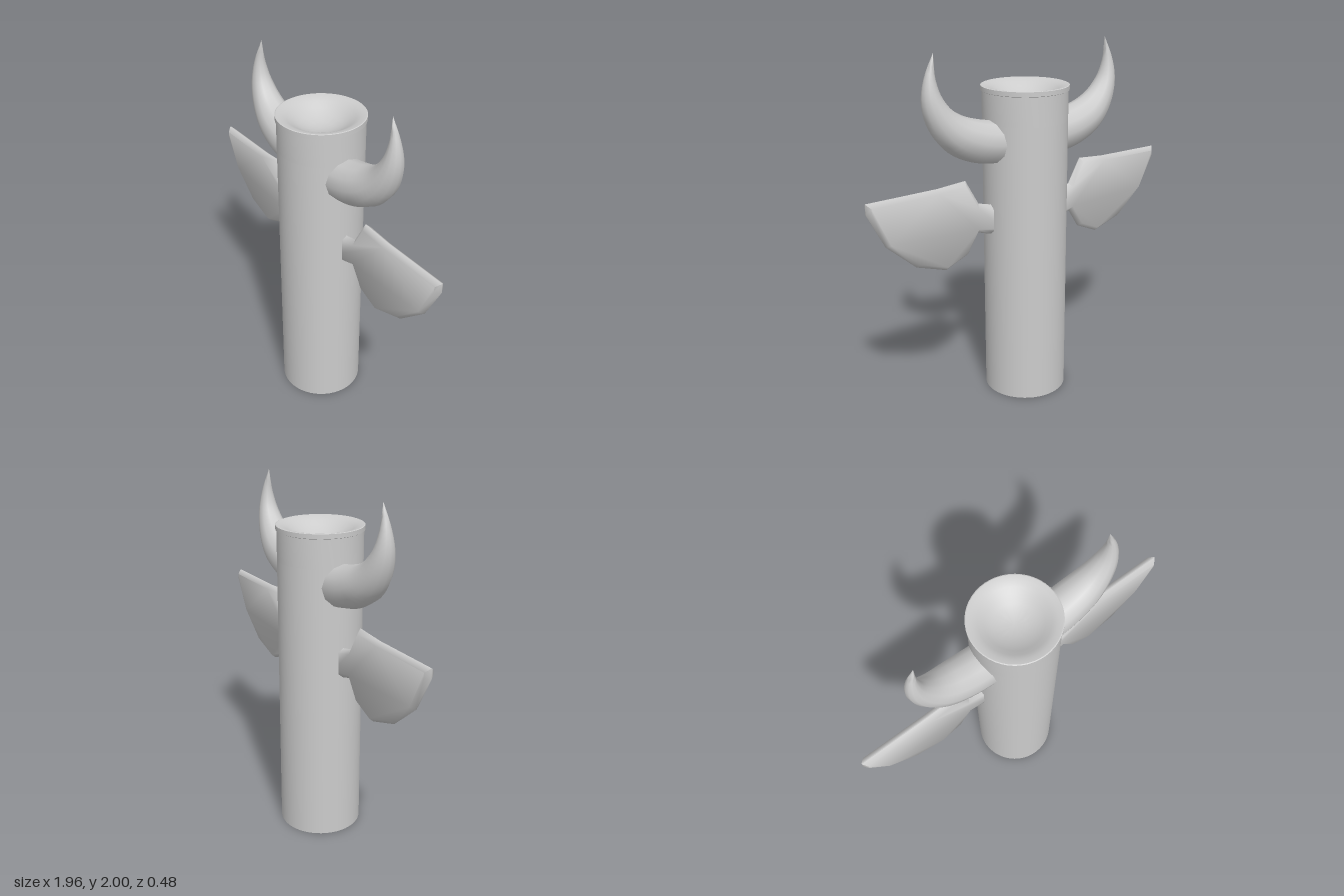
import * as THREE from 'three';
import { mergeVertices, toCreasedNormals } from 'three/addons/utils/BufferGeometryUtils.js';

const material = new THREE.MeshStandardMaterial({ color: 0xcccccc });
const vec2 = (points) => points.map(([x, y]) => new THREE.Vector2(x, y));

function addMesh(parent, name, geometry) {
  const mesh = new THREE.Mesh(geometry, material);
  mesh.name = name;
  parent.add(mesh);
}

// Curved horn: rings [x, y, radius] swept along a smooth path in the XY plane
function hornGeometry() {
  const stations = [
    [0.12, 1.495, 0.117], [0.22, 1.502, 0.118], [0.33, 1.525, 0.115], [0.44, 1.573, 0.104],
    [0.525, 1.652, 0.083], [0.578, 1.757, 0.058], [0.588, 1.87, 0.031], [0.563, 2.0, 0.0005],
  ];
  const path = new THREE.CatmullRomCurve3(stations.map(([x, y]) => new THREE.Vector3(x, y, 0)));
  const radii = new THREE.CatmullRomCurve3(stations.map(([, , r], i) => new THREE.Vector3(i, r, 0)));
  const rings = 28, sides = 12;
  const positions = [], index = [];
  for (let i = 0; i <= rings; i++) {
    const t = i / rings;
    const p = path.getPoint(t);
    const d = path.getTangent(t);
    const r = radii.getPoint(t).y;
    for (let j = 0; j < sides; j++) {
      const a = (j / sides) * Math.PI * 2;
      const n = Math.cos(a) * r;
      positions.push(p.x - d.y * n, p.y + d.x * n, Math.sin(a) * r);
      if (i === rings) continue;
      const a0 = i * sides + j, b0 = i * sides + (j + 1) % sides;
      index.push(a0, b0, a0 + sides, b0, b0 + sides, a0 + sides);
    }
  }
  // Root cap, hidden inside the body
  for (let j = 1; j < sides - 1; j++) index.push(0, j + 1, j);
  const g = new THREE.BufferGeometry();
  g.setAttribute('position', new THREE.Float32BufferAttribute(positions, 3));
  g.setIndex(index);
  return toCreasedNormals(g, 1.2);
}

// Flat wing with a narrow neck and edges bevelled to a ridge
function wingGeometry() {
  const shape = new THREE.Shape(vec2([
    [0.15, 0.985], [0.24, 0.985], [0.32, 1.01], [0.39, 0.9], [0.53, 0.84], [0.71, 0.9],
    [0.88, 1.05], [0.98, 1.245], [0.98, 1.3], [0.57, 1.303], [0.395, 1.316],
    [0.315, 1.175], [0.24, 1.155], [0.15, 1.155],
  ]));
  const g = new THREE.ExtrudeGeometry(shape, {
    depth: 0.004, bevelEnabled: true, bevelThickness: 0.026,
    bevelSize: 0.022, bevelOffset: -0.022, bevelSegments: 1,
  });
  g.translate(0, 0, -0.002);
  return toCreasedNormals(g, 1);
}

// Reflects a geometry in x and restores its winding
function mirrorX(geometry) {
  const g = mergeVertices(geometry.clone().scale(-1, 1, 1));
  const idx = g.index;
  for (let i = 0; i < idx.count; i += 3) {
    const a = idx.getX(i);
    idx.setX(i, idx.getX(i + 2));
    idx.setX(i + 2, a);
  }
  return g;
}

export function createModel() {
  const group = new THREE.Group();
  group.name = 'hornedWingedPost';

  // Post
  const body = new THREE.CylinderGeometry(0.235, 0.235, 1.6, 48);
  addMesh(group, 'body', body.translate(0, 0.8, 0));

  // Top of the post: projecting rim, soft shoulder and sunken bowl
  const top = new THREE.LatheGeometry(vec2([
    [0.235, 1.6], [0.235, 1.76], [0.241, 1.763], [0.241, 1.788], [0.236, 1.79],
    [0.21, 1.785], [0.18, 1.77], [0.15, 1.749], [0.11, 1.726], [0.06, 1.708], [0, 1.702],
  ]), 48);
  addMesh(group, 'dishedRim', toCreasedNormals(top, 0.5));

  // Paired horns and wings
  const horn = hornGeometry();
  const wing = wingGeometry();
  addMesh(group, 'leftHorn', horn);
  addMesh(group, 'rightHorn', mirrorX(horn));
  addMesh(group, 'leftWing', wing);
  addMesh(group, 'rightWing', mirrorX(wing));
  return group;
}
